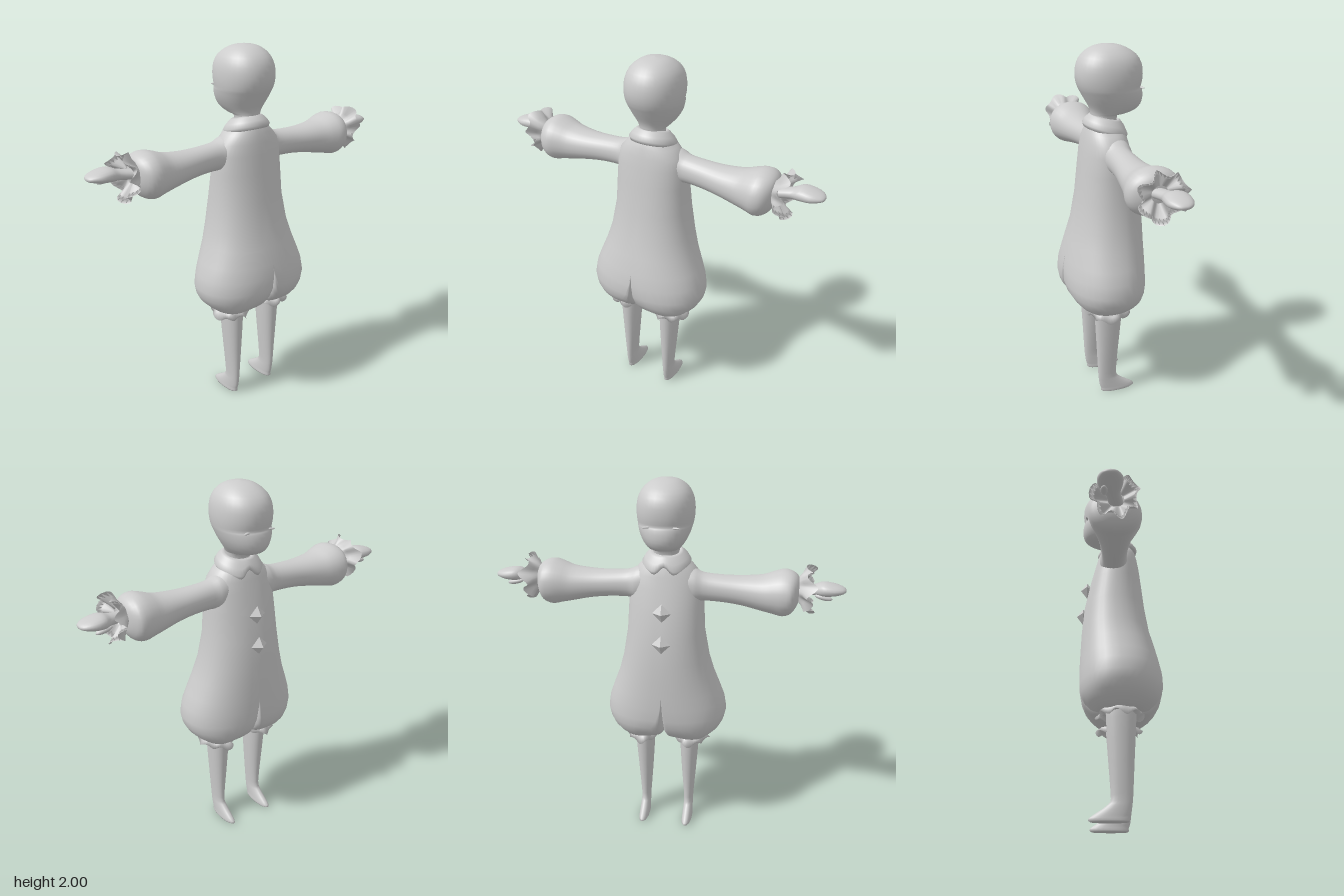
import * as THREE from 'three';

const clay = new THREE.MeshStandardMaterial({ color: 0xcccccc, side: THREE.DoubleSide });
clay.name = 'pale grey';

// Catmull-Rom refinement of a table of cross-section values
function refine(rows, k = 3) {
  const out = [], last = rows.length - 1;
  for (let i = 0; i < last; i++) {
    const [a, b, c, d] = [rows[Math.max(i - 1, 0)], rows[i], rows[i + 1], rows[Math.min(i + 2, last)]];
    for (let s = 0; s < k; s++) {
      const t = s / k;
      out.push(b.map((v, n) => v + 0.5 * t * (c[n] - a[n]
        + t * (2 * a[n] - 5 * v + 4 * c[n] - d[n] + t * (3 * (v - c[n]) + d[n] - a[n])))));
    }
  }
  out.push(rows[last]);
  return out;
}

// Skin closed loops, listed upwards; point(row, angle) gives [x, y, z]
function loft(rows, point, n = 28) {
  const pos = [], idx = [];
  rows.forEach(r => {
    for (let j = 0; j < n; j++) pos.push(...point(r, (j / n) * Math.PI * 2));
  });
  for (let i = 0; i < rows.length - 1; i++) {
    for (let j = 0; j < n; j++) {
      const a = i * n + j, b = i * n + (j + 1) % n, c = a + n, d = b + n;
      // leave out walls lying wholly in the middle plane
      if ([a, b, c, d].every(v => Math.abs(pos[v * 3]) < 1e-6)) continue;
      idx.push(a, c, d, a, d, b);
    }
  }
  const g = new THREE.BufferGeometry();
  g.setAttribute('position', new THREE.Float32BufferAttribute(pos, 3));
  g.setIndex(idx);
  g.computeVertexNormals();
  return g;
}

const spow = (v, p) => Math.sign(v) * Math.pow(Math.abs(v), p);

// Oval section from a row [y, x0, x1, z0, z1]
const oval = ([y, x0, x1, z0, z1], a) => [
  (x0 + x1) / 2 + (x1 - x0) / 2 * spow(Math.cos(a), 0.93), y,
  (z0 + z1) / 2 + (z1 - z0) / 2 * spow(Math.sin(a), 0.93)];

// Sideways limb from rows [x, y0, y1, z0, z1]
const limb = (rows, n) => loft(refine(rows.map(([x, y0, y1, z0, z1]) => [x, -y1, -y0, z0, z1])), oval, n)
  .rotateZ(-Math.PI / 2);

// Wavy frill opening along +y
function frill(r0, r1, len, waves, amp, phase) {
  const rows = [[0, r0 * 0.8, 0], [0, r0, 0], [len * 0.45, r0 * 0.6 + r1 * 0.4, 0.35], [len, r1, 1], [len * 0.75, r1 * 0.8, 0.8], [len * 0.4, r0 * 0.7, 0]];
  return loft(rows, ([y, r, w], a) => {
    const s = Math.sin(waves * a + phase), q = Math.sin(3 * a + phase * 2);
    const rr = r * (1 + w * (0.1 * s + 0.06 * q));
    return [rr * Math.cos(a), y + w * amp * (Math.cos(waves * a + phase + 0.6) + 0.4 * q), rr * Math.sin(a)];
  }, 56);
}

function mirrored(g) {
  const m = g.clone().scale(-1, 1, 1);
  if (m.index) {
    const ix = m.index.array;
    for (let i = 0; i < ix.length; i += 3) [ix[i + 1], ix[i + 2]] = [ix[i + 2], ix[i + 1]];
  }
  return m;
}

export function createModel() {
  const model = new THREE.Group();
  model.name = 'costumedChild';
  const add = (name, g, mat = clay) => {
    const m = new THREE.Mesh(g, mat);
    m.name = name;
    model.add(m);
  };
  const pair = (name, g) => {
    add(name + 'Left', g);
    add(name + 'Right', mirrored(g));
  };

  // Baggy suit, one half: [y, inner x, middle x, outer x, front z, back z]
  const suitRows = [
    [0.555, 0.10, 0.14, 0.16, -0.02, 0.03], [0.555, 0.07, 0.14, 0.21, -0.085, 0.1],
    [0.575, 0.035, 0.14, 0.24, -0.12, 0.135], [0.6, 0.004, 0.125, 0.27, -0.15, 0.17],
    [0.63, 0, 0.095, 0.3, -0.178, 0.2], [0.67, 0, 0.06, 0.322, -0.198, 0.225],
    [0.72, 0, 0.03, 0.333, -0.208, 0.238], [0.79, 0, 0.008, 0.322, -0.21, 0.236],
    [0.86, 0, 0, 0.297, -0.21, 0.222], [0.95, 0, 0, 0.262, -0.207, 0.2],
    [1.05, 0, 0, 0.234, -0.203, 0.172], [1.2, 0, 0, 0.208, -0.19, 0.147],
    [1.35, 0, 0, 0.2, -0.16, 0.13], [1.45, 0, 0, 0.193, -0.135, 0.118],
    [1.51, 0, 0, 0.178, -0.12, 0.108], [1.555, 0, 0, 0.14, -0.108, 0.098],
    [1.6, 0, 0, 0.09, -0.088, 0.08], [1.62, 0, 0, 0.06, -0.06, 0.06]];
  const suit = loft(suitRows, ([y, xin, m, w, zf, zb], a) => {
    const c = Math.cos(a), s = Math.sin(a), outer = c > -1e-9;
    const soft = outer ? 0.9 : (y > 0.59 ? 0.45 : 0.9);
    const x = outer ? m + (w - m) * Math.pow(Math.max(c, 0), 0.9) : m - (m - xin) * Math.pow(-c, soft);
    return [Math.abs(c) < 1e-9 ? m : x, y, (zf + zb) / 2 + (zb - zf) / 2 * spow(s, soft)];
  }, 40);
  // Blend the shading across the middle seam
  const p = suit.attributes.position, nn = suit.attributes.normal;
  for (let i = 0; i < p.count; i++) {
    if (Math.abs(p.getX(i)) > 1e-6 || p.getY(i) < 0.63) continue;
    const l = Math.hypot(nn.getY(i), nn.getZ(i)) || 1;
    nn.setXYZ(i, 0, nn.getY(i) / l, nn.getZ(i) / l);
  }
  pair('suit', suit);

  // Sleeves, cuffs and hands
  pair('sleeve', limb([
    [0.08, 1.37, 1.555, -0.1, 0.06], [0.15, 1.36, 1.54, -0.105, 0.055], [0.2, 1.372, 1.52, -0.095, 0.045],
    [0.3, 1.37, 1.512, -0.098, 0.05], [0.4, 1.358, 1.512, -0.108, 0.065], [0.5, 1.337, 1.522, -0.128, 0.082],
    [0.56, 1.325, 1.542, -0.145, 0.1], [0.61, 1.315, 1.555, -0.155, 0.113], [0.655, 1.335, 1.545, -0.148, 0.098],
    [0.685, 1.385, 1.515, -0.09, 0.05], [0.69, 1.44, 1.46, -0.03, 0]]));
  pair('cuffFrill', frill(0.06, 0.117, 0.065, 7, 0.024, 0.5).rotateZ(-Math.PI / 2).translate(0.68, 1.455, -0.018));
  pair('hand', limb([
    [0.69, 1.43, 1.48, -0.055, 0.02], [0.76, 1.437, 1.49, -0.075, 0.005], [0.805, 1.436, 1.507, -0.105, 0.015],
    [0.86, 1.442, 1.5, -0.108, 0.018], [0.9, 1.452, 1.488, -0.09, 0], [0.918, 1.46, 1.477, -0.065, -0.02],
    [0.921, 1.468, 1.469, -0.045, -0.044]], 18));
  pair('thumb', new THREE.SphereGeometry(1, 14, 10).scale(0.045, 0.014, 0.018)
    .rotateZ(-0.2).translate(0.81, 1.436, -0.075));

  // Legs with pointed feet, and knee frills
  const c = 0.128;
  pair('leg', loft(refine([
    [0, c, c, -0.04, -0.04], [0, c - 0.027, c + 0.027, -0.135, 0.05], [0.018, c - 0.028, c + 0.028, -0.143, 0.055],
    [0.045, c - 0.027, c + 0.027, -0.105, 0.064], [0.085, c - 0.026, c + 0.026, -0.05, 0.069],
    [0.13, c - 0.027, c + 0.027, -0.036, 0.073], [0.3, c - 0.04, c + 0.04, -0.047, 0.081],
    [0.52, c - 0.053, c + 0.055, -0.065, 0.092], [0.58, c - 0.05, c + 0.055, -0.065, 0.092]], 2), oval, 22));
  pair('kneeFrill', frill(0.072, 0.092, 0.043, 7, 0.013, 1.2).rotateX(Math.PI)
    .scale(1, 1, 1.28).translate(0.143, 0.573, 0.01));

  // Head and neck: [y, x0, x1, front z, back z]
  const headRows = [
    [1.58, 0.066, -0.07, 0.058], [1.64, 0.066, -0.075, 0.064], [1.65, 0.074, -0.13, 0.066],
    [1.665, 0.086, -0.175, 0.068], [1.69, 0.104, -0.2, 0.077], [1.73, 0.125, -0.209, 0.1],
    [1.77, 0.138, -0.204, 0.122], [1.785, 0.141, -0.196, 0.129], [1.81, 0.145, -0.202, 0.138],
    [1.85, 0.147, -0.206, 0.144], [1.9, 0.141, -0.2, 0.138], [1.945, 0.121, -0.172, 0.115],
    [1.978, 0.085, -0.122, 0.074], [1.994, 0.048, -0.075, 0.03], [2, 0, -0.025, -0.025]];
  add('head', loft(refine(headRows.map(([y, w, f, b]) => [y, -w, w, f, b]), 2), oval, 32));
  pair('closedEye', new THREE.SphereGeometry(1, 16, 8).scale(0.035, 0.006, 0.008)
    .rotateY(0.35).translate(0.062, 1.782, -0.178));

  // Turned-down collar, lower at the front with a notch
  add('collar', loft([
    [1.56, 0.09, 0.3], [1.557, 0.122, 1], [1.575, 0.128, 0.9], [1.6, 0.113, 0.5],
    [1.625, 0.088, 0.1], [1.632, 0.075, 0], [1.62, 0.062, 0]], ([y, r, w], a) => {
    const front = Math.max(0, -Math.sin(a));
    const notch = Math.pow(front, 24);
    const z = r * Math.sin(a) * 0.93;
    return [r * Math.cos(a), y + z * 0.25 + w * (0.05 * notch - 0.02 * Math.pow(front, 4)), z - 0.012 + w * 0.02 * notch];
  }, 48));

  // Faceted diamond buttons down the chest
  [[1.337, -0.178], [1.17, -0.198]].forEach(([y, z], i) => {
    const g = new THREE.OctahedronGeometry(1, 0).scale(0.05, 0.05, 0.035);
    add('button' + (i + 1), g.translate(0, y, z));
  });
  return model;
}
